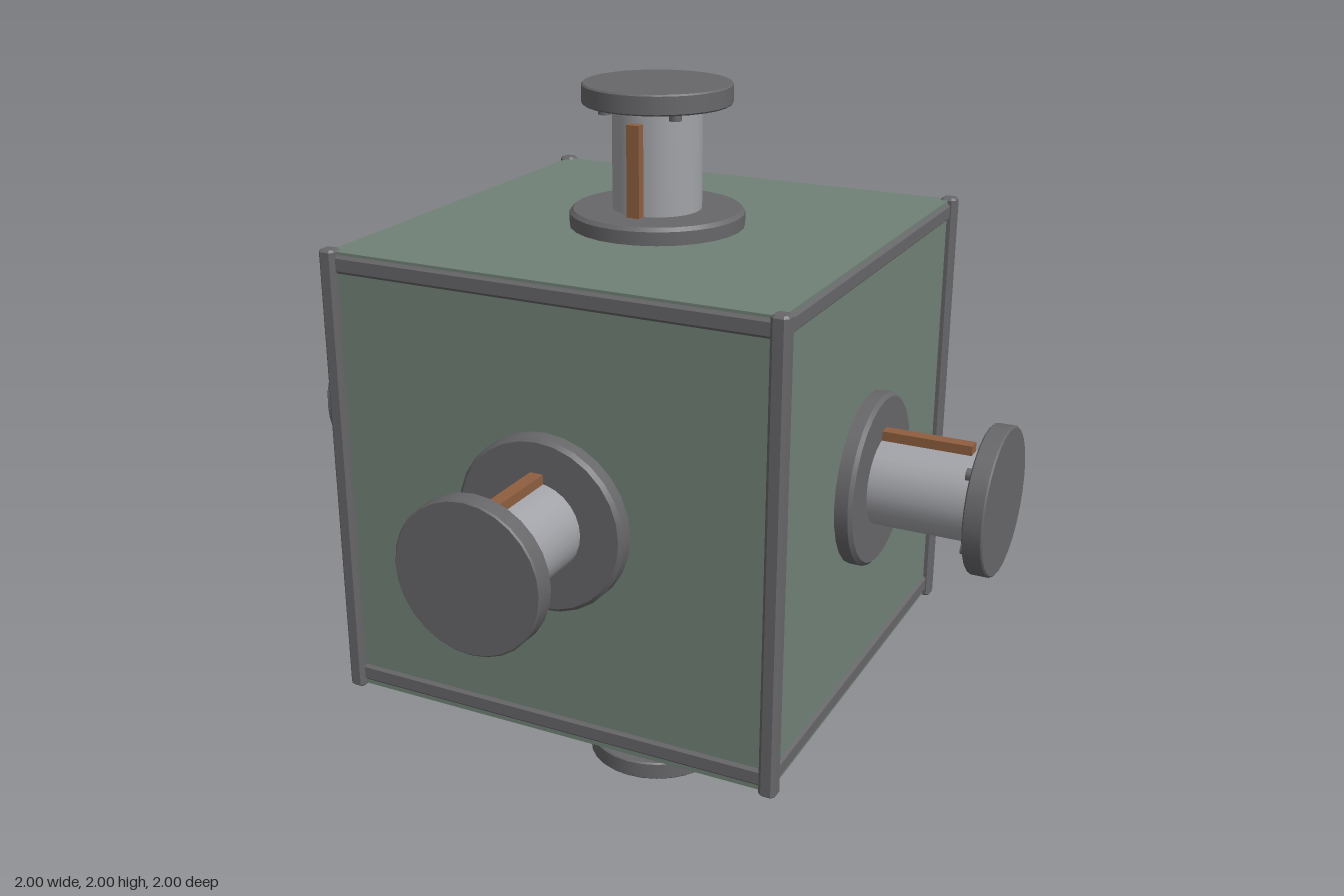
import * as THREE from 'three';

const mat = (name, color) => {
  const m = new THREE.MeshStandardMaterial({ color });
  m.name = name;
  return m;
};

export function createModel() {
  const green = mat('paintedGreen', 0x708176);
  const dark = mat('darkSteel', 0x67676a);
  const steel = mat('lightSteel', 0xa2a3a8);
  const copper = mat('copperBrown', 0x8f5f40);

  const model = new THREE.Group();
  model.name = 'sixPortJunctionBox';
  const core = new THREE.Group();
  core.name = 'core';
  core.position.y = 1;
  model.add(core);

  const add = (parent, name, geometry, material, x = 0, y = 0, z = 0) => {
    const mesh = new THREE.Mesh(geometry, material);
    mesh.name = name;
    mesh.position.set(x, y, z);
    parent.add(mesh);
    return mesh;
  };

  // Bar with chamfered edges and ends, lying along z and centred
  const chamferedBar = (w, h, length, c) => {
    const a = w / 2 - c, b = h / 2 - c;
    const shape = new THREE.Shape([
      [-a, -b - c / 2], [a, -b - c / 2], [a + c / 2, -b], [a + c / 2, b],
      [a, b + c / 2], [-a, b + c / 2], [-a - c / 2, b], [-a - c / 2, -b],
    ].map(([x, y]) => new THREE.Vector2(x, y)));
    return new THREE.ExtrudeGeometry(shape, {
      depth: length - c, bevelEnabled: true, bevelSegments: 1,
      bevelSize: c / 2, bevelThickness: c / 2,
    }).translate(0, 0, -(length - c) / 2);
  };

  // Body
  add(core, 'body', new THREE.BoxGeometry(1.244, 1.244, 1.244), green);

  // Corner posts
  const postGeo = chamferedBar(0.046, 0.046, 1.256, 0.012).rotateX(Math.PI / 2);
  for (const x of [-0.62, 0.62])
    for (const z of [-0.62, 0.62]) add(core, 'cornerPost', postGeo, dark, x, 0, z);

  // Horizontal rails on the four sides
  const railGeo = chamferedBar(0.046, 0.052, 1.22, 0.012).rotateY(Math.PI / 2);
  for (let i = 0; i < 4; i++) {
    const side = new THREE.Group();
    side.name = 'sideRails';
    side.rotation.y = i * Math.PI / 2;
    for (const y of [-0.585, 0.59]) add(side, 'rail', railGeo, dark, 0, y, 0.607);
    core.add(side);
  }

  // Flange disc with small chamfers; each ring is doubled to keep edges sharp
  const flange = (radius, y0, y1, c) => {
    const pts = [[0, y0], [radius - c, y0], [radius, y0 + c], [radius, y1 - c], [radius - c, y1], [0, y1]];
    const profile = [];
    pts.forEach(([x, y], i) => {
      profile.push(new THREE.Vector2(x, y));
      if (i > 0 && i < pts.length - 1) profile.push(new THREE.Vector2(x, y + 1e-5));
    });
    return new THREE.LatheGeometry(profile, 28);
  };
  const baseGeo = flange(0.236, 0.6, 0.668, 0.01);
  const endGeo = flange(0.2, 0.946, 1, 0.004);
  const pipeGeo = new THREE.CylinderGeometry(0.12, 0.12, 0.33, 28, 1, true);
  const boltGeo = new THREE.CylinderGeometry(0.017, 0.017, 0.024, 8);
  const stripGeo = new THREE.BoxGeometry(0.036, 0.245, 0.03);

  // Ports: outward axis and the side carrying the strip
  const ports = [
    ['topPort', [0, 1, 0], [0, 0, 1]], ['bottomPort', [0, -1, 0], [0, 0, -1]],
    ['leftPort', [1, 0, 0], [0, 1, 0]], ['rightPort', [-1, 0, 0], [0, 1, 0]],
    ['frontPort', [0, 0, 1], [0, 1, 0]], ['backPort', [0, 0, -1], [0, 1, 0]],
  ];
  for (const [name, axis, up] of ports) {
    const port = new THREE.Group();
    port.name = name;
    const y = new THREE.Vector3(...axis), z = new THREE.Vector3(...up);
    const x = new THREE.Vector3().crossVectors(y, z);
    port.quaternion.setFromRotationMatrix(new THREE.Matrix4().makeBasis(x, y, z));
    add(port, 'baseFlange', baseGeo, dark);
    add(port, 'pipe', pipeGeo, steel, 0, 0.8, 0);
    add(port, 'endFlange', endGeo, dark);
    add(port, 'copperStrip', stripGeo, copper, 0, 0.788, 0.129);
    for (let i = 0; i < 4; i++) {
      const a = (i + 0.5) * Math.PI / 2;
      add(port, 'bolt', boltGeo, dark, 0.145 * Math.cos(a), 0.936, 0.145 * Math.sin(a));
    }
    core.add(port);
  }
  return model;
}
